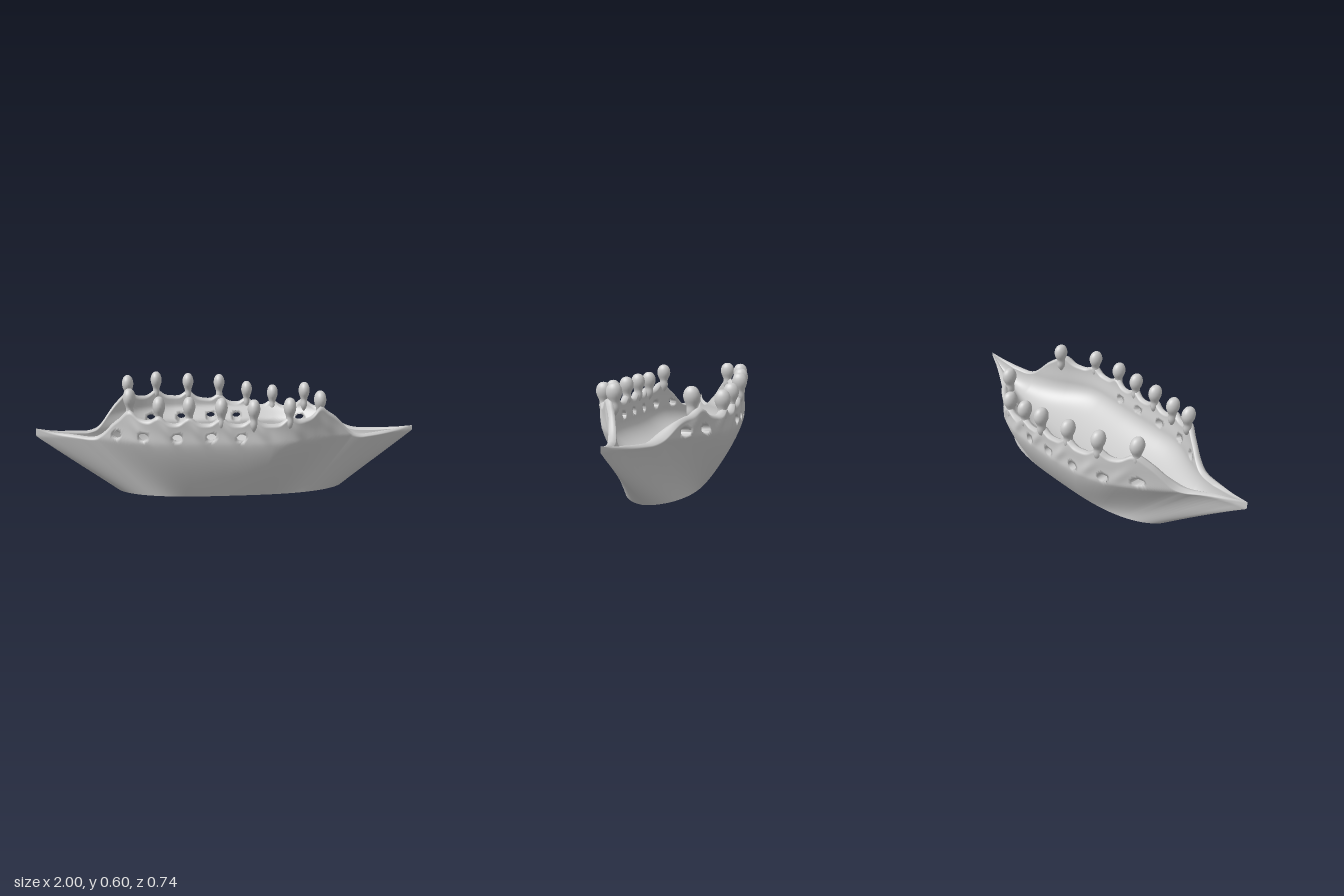
import * as THREE from 'three';

const mat = new THREE.MeshStandardMaterial({ color: 0xcccccc, side: THREE.DoubleSide });
const COLS = 300, ROWS = 36;
const LIP = .31, FLOOR = .15;

// Each side: rim outline [x, z], rim height [x, y], knobs [x, top y, z], holes [x, y], ledge depth
const SIDES = {
  front: {
    z: [[-1, .13], [-.9, .152], [-.8, .17], [-.6, .22], [-.47, .305], [-.4, .33], [0, .328], [.15, .338], [.33, .33], [.47, .22], [.6, .155], [.8, .09], [1, .03]],
    h: [[-1, .35], [-.9, .325], [-.7, .302], [-.65, .315], [-.57, .41], [-.5, .43], [-.35, .4], [0, .395], [.3, .395], [.5, .435], [.56, .41], [.62, .33], [.68, .292], [.8, .3], [.9, .312], [1, .335]],
    knobs: [[-.5, .575, .24], [-.35, .54, .285], [-.2, .54, .3], [-.04, .535, .31], [.12, .53, .325], [.3, .535, .305], [.47, .55, .18]],
    holes: [[-.57, .338], [-.43, .338], [-.26, .335], [-.09, .338], [.06, .335]],
    ledge: .012,
  },
  back: {
    z: [[-1, .13], [-.9, .1], [-.8, .055], [-.68, -.06], [-.55, -.185], [-.4, -.29], [-.2, -.325], [0, -.342], [.3, -.34], [.38, -.3], [.46, -.24], [.6, -.155], [.8, -.05], [1, .03]],
    h: [[-1, .35], [-.9, .325], [-.72, .302], [-.67, .34], [-.62, .45], [-.55, .455], [-.4, .45], [-.2, .435], [.12, .39], [.3, .375], [.46, .4], [.55, .39], [.61, .33], [.68, .295], [.8, .3], [.9, .312], [1, .335]],
    knobs: [[-.55, .59, -.15], [-.4, .595, -.26], [-.22, .58, -.3], [-.04, .57, -.33], [.12, .53, -.32], [.27, .51, -.31], [.44, .54, -.2]],
    holes: [[-.57, .345], [-.43, .338], [-.26, .335], [-.09, .338], [.06, .335], [.42, .335], [.53, .335]],
    ledge: .08,
  },
};

const lerp = THREE.MathUtils.lerp;
const gauss = (d) => Math.exp(-d * d);

function linear(table, x) {
  let i = 1;
  while (i < table.length - 1 && x > table[i][0]) i++;
  const [x0, y0] = table[i - 1], [x1, y1] = table[i];
  return lerp(y0, y1, THREE.MathUtils.clamp((x - x0) / (x1 - x0), 0, 1));
}

// Softened table lookup, exact at the tips
function soft(table, x, reach) {
  const d = Math.min(reach, 1 - Math.abs(x));
  let sum = 0;
  for (let k = -4; k <= 4; k++) sum += linear(table, x + d * k / 4);
  return sum / 9;
}

const station = (i) => Math.sin((i / COLS - .5) * Math.PI);
const bottomX = (u) => .615 * u + .02;
const bottomZ = (u, dir) => .01 - .04 * u + dir * .195 * Math.pow(Math.max(0, 1 - Math.abs(u) ** 3), .6);
const rimZ = (side, u) => soft(side.z, u, .1);

// Inside and outside skin of one wall, joined over the rim and through the holes
function wallGeometry(side, dir) {
  const outer = [], inner = [], crest = [];
  const holeDist = (x, y) => {
    let best = [9, null];
    for (const h of side.holes) {
      const d = Math.hypot((x - h[0]) / .026, (y - h[1]) / .02);
      if (d < best[0]) best = [d, h];
    }
    return best;
  };

  // Outside: flares out to the lip height, then stands upright
  for (let i = 0; i <= COLS; i++) {
    const u = station(i), zRim = rimZ(side, u);
    let h = soft(side.h, u, .04);
    for (const k of side.knobs) h += .035 * gauss((u - k[0]) / .035);
    outer.push([]);
    for (let j = 0; j <= ROWS; j++) {
      const y = h * j / ROWS, k = Math.min(1, y / Math.min(h, LIP));
      const z = lerp(bottomZ(u, dir), zRim, 1 - (1 - k) ** 1.4);
      outer[i].push({ x: lerp(bottomX(u), u, k), y, z, k });
    }
  }

  // Mark the cells inside holes and round off their borders
  const holed = [];
  for (let i = 0; i < COLS; i++) {
    holed.push([]);
    for (let j = 0; j < ROWS; j++) {
      const a = outer[i][j], c = outer[i + 1][j + 1];
      holed[i].push(holeDist((a.x + c.x) / 2, (a.y + c.y) / 2)[0] < 1);
    }
  }
  const isOpen = (i, j) => !!(holed[i] && holed[i][j]);
  for (let i = 0; i <= COLS; i++) for (let j = 0; j <= ROWS; j++) {
    const n = [isOpen(i, j), isOpen(i - 1, j), isOpen(i, j - 1), isOpen(i - 1, j - 1)].filter(Boolean).length;
    if (n === 0 || n === 4) continue;
    const p = outer[i][j], [d, c] = holeDist(p.x, p.y);
    p.x = c[0] + (p.x - c[0]) / d;
    p.y = c[1] + (p.y - c[1]) / d;
  }

  // Inside: shallow round bowl up to the lip, then a ledge sloping back to the rim
  for (let i = 0; i <= COLS; i++) {
    const u = station(i), zRim = rimZ(side, u);
    const zMid = (rimZ(SIDES.front, u) + rimZ(SIDES.back, u)) / 2;
    const half = Math.abs(zRim - zMid);
    const mid = Math.max(0, 1 - (u / .8) ** 2);
    const lipY = Math.min(outer[i][ROWS].y, LIP);
    const floorY = lerp(FLOOR, lipY, Math.abs(u) ** 3);
    inner.push([]);
    for (const p of outer[i]) {
      const fade = 1 - THREE.MathUtils.smoothstep(p.y, LIP, LIP + .09);
      const t = Math.min(.036 + side.ledge * mid * fade, half * .5);
      if (p.k < 1) {
        const a = p.k * Math.PI / 2;
        inner[i].push({ x: u, y: lerp(lipY, floorY, Math.cos(a)), z: zMid + dir * (half - t) * Math.sin(a) });
      } else inner[i].push({ x: p.x, y: p.y, z: p.z - dir * t });
      // Slanting ribs below the knobs
      let rib = 0;
      for (const k of side.knobs) rib += gauss((p.x - k[0] - (.44 - p.y) * .6) / .028);
      p.z += dir * (.014 * rib - .006) * mid * gauss((p.y - .37) / .05);
    }
    const a = outer[i][ROWS], b = inner[i][ROWS];
    crest.push({ x: a.x, y: a.y + Math.min(.01, Math.abs(a.z - b.z) * .4), z: (a.z + b.z) / 2 });
  }

  const pos = [], idx = [], M = 2 * ROWS + 3;
  for (let i = 0; i <= COLS; i++) {
    for (const p of [...outer[i], crest[i], ...inner[i].slice().reverse()]) pos.push(p.x, p.y, p.z);
  }
  const id = (i, j) => i * M + j;
  const inn = (i, j) => i * M + M - 1 - j;
  const quad = (a, b, c, d) => (dir > 0 ? idx.push(a, b, c, a, c, d) : idx.push(a, c, b, a, d, c));
  for (let i = 0; i < COLS; i++) {
    for (let j = 0; j < M - 1; j++) {
      const row = j < ROWS ? j : M - 2 - j;
      if (!isOpen(i, row)) quad(id(i, j), id(i + 1, j), id(i + 1, j + 1), id(i, j + 1));
    }
    for (let j = 0; j < ROWS; j++) {
      if (!isOpen(i, j)) continue;
      const c = [[i, j], [i + 1, j], [i + 1, j + 1], [i, j + 1]];
      [[i, j - 1], [i + 1, j], [i, j + 1], [i - 1, j]].forEach((n, e) => {
        if (isOpen(...n)) return;
        const a = c[e], b = c[(e + 1) % 4];
        quad(id(...a), id(...b), inn(...b), inn(...a));
      });
    }
  }
  return finish(pos, idx);
}

function finish(pos, idx) {
  const g = new THREE.BufferGeometry();
  g.setAttribute('position', new THREE.Float32BufferAttribute(pos, 3));
  g.setIndex(idx);
  g.computeVertexNormals();
  return g;
}

// Flat underside between the two lower edges
function baseGeometry() {
  const pos = [], idx = [];
  for (let i = 0; i <= COLS; i++) {
    const u = station(i), x = bottomX(u);
    pos.push(x, 0, bottomZ(u, 1), x, 0, bottomZ(u, -1));
    const a = 2 * i;
    if (i < COLS) idx.push(a, a + 3, a + 2, a, a + 1, a + 3);
  }
  return finish(pos, idx);
}

// Egg-shaped knob whose neck tapers away inside the rim; origin at the top
function knobGeometry() {
  const profile = [[.004, -.165], [.016, -.145], [.021, -.125], [.02, -.1], [.024, -.085], [.031, -.067],
    [.034, -.048], [.031, -.027], [.022, -.01], [.011, -.002], [0, 0]];
  const curve = new THREE.SplineCurve(profile.map((p) => new THREE.Vector2(...p)));
  return new THREE.LatheGeometry(curve.getPoints(32).map((p) => p.setX(Math.max(0, p.x))), 20);
}

export function createModel() {
  const group = new THREE.Group();
  const add = (geo, name) => {
    const m = new THREE.Mesh(geo, mat);
    m.name = name;
    group.add(m);
    return m;
  };

  add(wallGeometry(SIDES.front, 1), 'frontWall');
  add(wallGeometry(SIDES.back, -1), 'backWall');
  add(baseGeometry(), 'base');

  // Knobs along both rims
  const knob = knobGeometry();
  for (const [name, side] of Object.entries(SIDES)) {
    for (const [x, y, z] of side.knobs) {
      const m = add(knob, name + 'Knob');
      m.position.set(x, y, z);
      m.scale.set(.92, 1, 1.2);
    }
  }
  return group;
}
